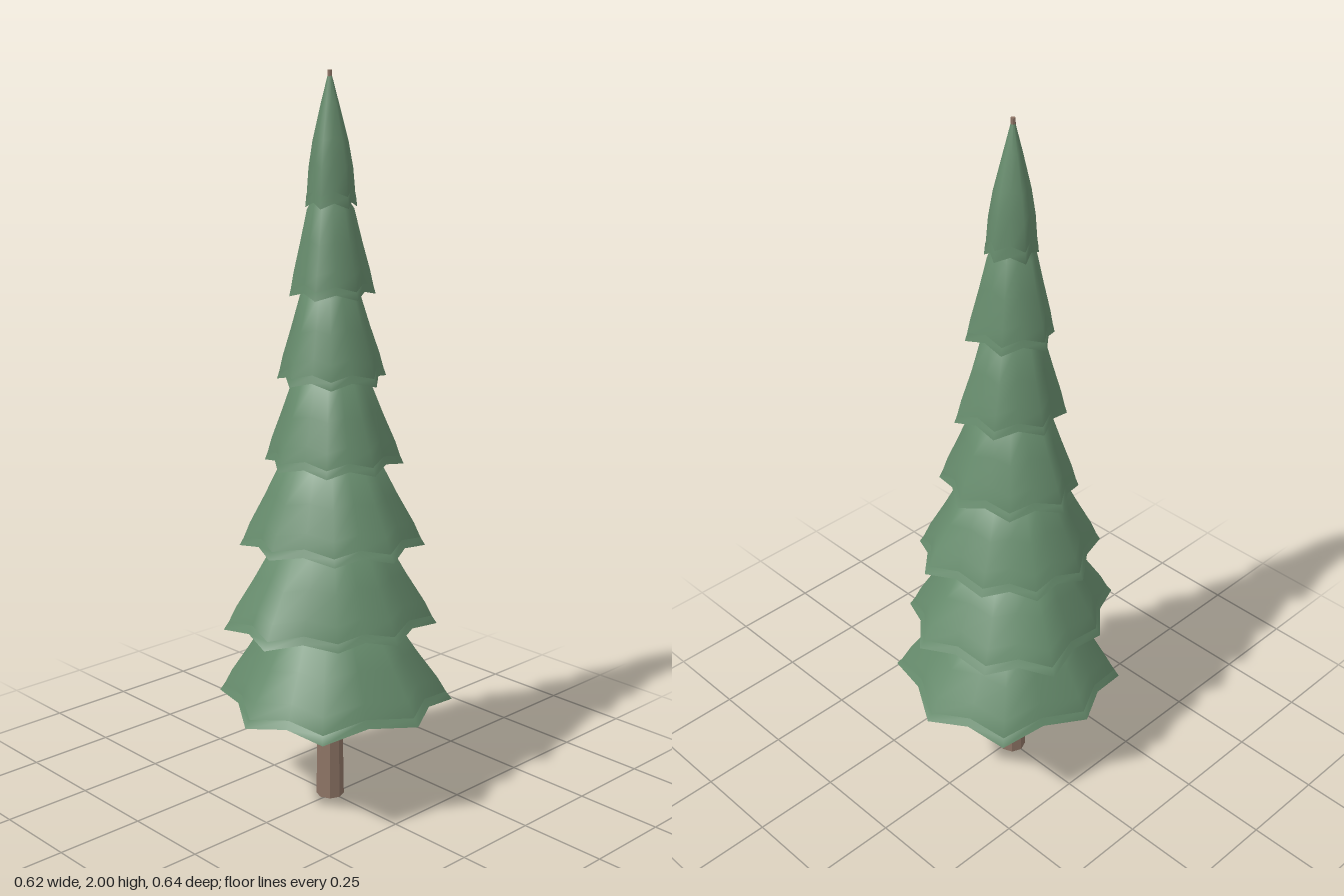
import * as THREE from 'three';

const AXIS_X = -0.01;

// Each tier: rim height, skirt height, and the branch tips [x, z] around the rim
const TIERS = [
  [0.30, 0.24, [[0, -0.325], [-0.225, -0.248], [-0.31, 0], [-0.25, 0.2], [0, 0.32], [0.22, 0.245], [0.31, -0.02], [0.245, -0.225]]],
  [0.525, 0.24, [[0.05, -0.3], [-0.155, -0.25], [-0.293, -0.12], [-0.262, 0.095], [-0.15, 0.265], [0.045, 0.29], [0.19, 0.16], [0.26, 0.01], [0.215, -0.19]]],
  [0.75, 0.24, [[0.07, -0.255], [-0.11, -0.215], [-0.225, -0.12], [-0.25, 0.03], [-0.155, 0.2], [0, 0.23], [0.165, 0.15], [0.243, 0.01], [0.19, -0.165]]],
  [0.975, 0.24, [[0, -0.192], [-0.14, -0.14], [-0.21, -0.01], [-0.15, 0.11], [-0.02, 0.178], [0.12, 0.135], [0.182, 0.02], [0.14, -0.13]]],
  [1.2, 0.24, [[0.05, -0.152], [-0.08, -0.138], [-0.155, -0.03], [-0.12, 0.09], [-0.01, 0.145], [0.1, 0.1], [0.145, -0.02]]],
  [1.425, 0.24, [[0.05, -0.11], [-0.07, -0.1], [-0.13, 0], [-0.075, 0.085], [0.04, 0.1], [0.105, 0.01]]],
  [1.655, 0.335, [[-0.02, -0.075], [-0.08, -0.025], [-0.055, 0.045], [0.02, 0.062], [0.06, 0], [0.03, -0.06]]],
];

// Profile bands as [scale, height fraction]; each band is smooth, edges between bands are sharp
const UNDERSIDE = [[0.12, 0.16], [0.6, 0.13], [0.95, 0.03]];
const LIP = [[0.95, 0.03], [1, 0], [0.955, 0.09]];
const SKIRT = [[0.955, 0.09], [0.89, 0.26], [0.73, 0.58], [0.56, 0.94], [0.14, 1.25]];
const TOP_SKIRT = [[0.955, 0.05], [0.86, 0.3], [0.7, 0.5], [0.36, 0.78], [0.07, 1]];

// Rim outline: tips with a notch between each pair
function rimOutline(tips) {
  const sorted = tips.map(([x, z]) => [x - AXIS_X, z])
    .sort((a, b) => Math.atan2(a[1], a[0]) - Math.atan2(b[1], b[0]));
  const out = [];
  sorted.forEach(([x, z], i) => {
    const [nx, nz] = sorted[(i + 1) % sorted.length];
    out.push({ x, z, lift: 0 });
    out.push({ x: (x + nx) * 0.47, z: (z + nz) * 0.47, lift: 1 });
  });
  return out;
}

function tierGeometry(rimY, height, tips, skirt) {
  const rim = rimOutline(tips);
  const n = rim.length;
  const mean = rim.reduce((s, p) => s + Math.hypot(p.x, p.z), 0) / n;
  const pos = [], index = [];
  for (const band of [UNDERSIDE, LIP.slice(0, 2), LIP.slice(1), skirt]) {
    const start = pos.length / 3;
    for (const [s, h] of band) {
      // lobes fade into a round section toward the centre
      const round = Math.min(1, (1 - s) * 0.9);
      for (const p of rim) {
        const k = s * (1 + round * (mean / Math.hypot(p.x, p.z) - 1));
        pos.push(AXIS_X + p.x * k, rimY + h * height + p.lift * 0.014 * s, p.z * k);
      }
    }
    for (let r = 0; r < band.length - 1; r++) {
      for (let i = 0; i < n; i++) {
        const j = (i + 1) % n;
        const a = start + r * n + i, b = start + r * n + j;
        index.push(a, a + n, b, b, a + n, b + n);
      }
    }
  }
  const g = new THREE.BufferGeometry();
  g.setAttribute('position', new THREE.Float32BufferAttribute(pos, 3));
  g.setIndex(index);
  g.computeVertexNormals();
  return g;
}

export function createModel() {
  const model = new THREE.Group();
  model.name = 'pineTree';

  const needles = new THREE.MeshStandardMaterial({ color: 0x668b6c });
  needles.name = 'needle green';
  const bark = new THREE.MeshStandardMaterial({ color: 0x8d7465 });
  bark.name = 'bark brown';

  // Trunk runs the full height and peeks out at the tip
  const trunkGeometry = new THREE.CylinderGeometry(0.006, 0.039, 2, 8).toNonIndexed();
  trunkGeometry.computeVertexNormals();
  const trunk = new THREE.Mesh(trunkGeometry, bark);
  trunk.name = 'trunk';
  trunk.position.set(AXIS_X, 1, 0);
  model.add(trunk);

  // Stacked skirts of branches
  TIERS.forEach(([y, h, tips], i) => {
    const skirt = i === TIERS.length - 1 ? TOP_SKIRT : SKIRT;
    const tier = new THREE.Mesh(tierGeometry(y, h, tips, skirt), needles);
    tier.name = `branchTier${i + 1}`;
    model.add(tier);
  });

  return model;
}
